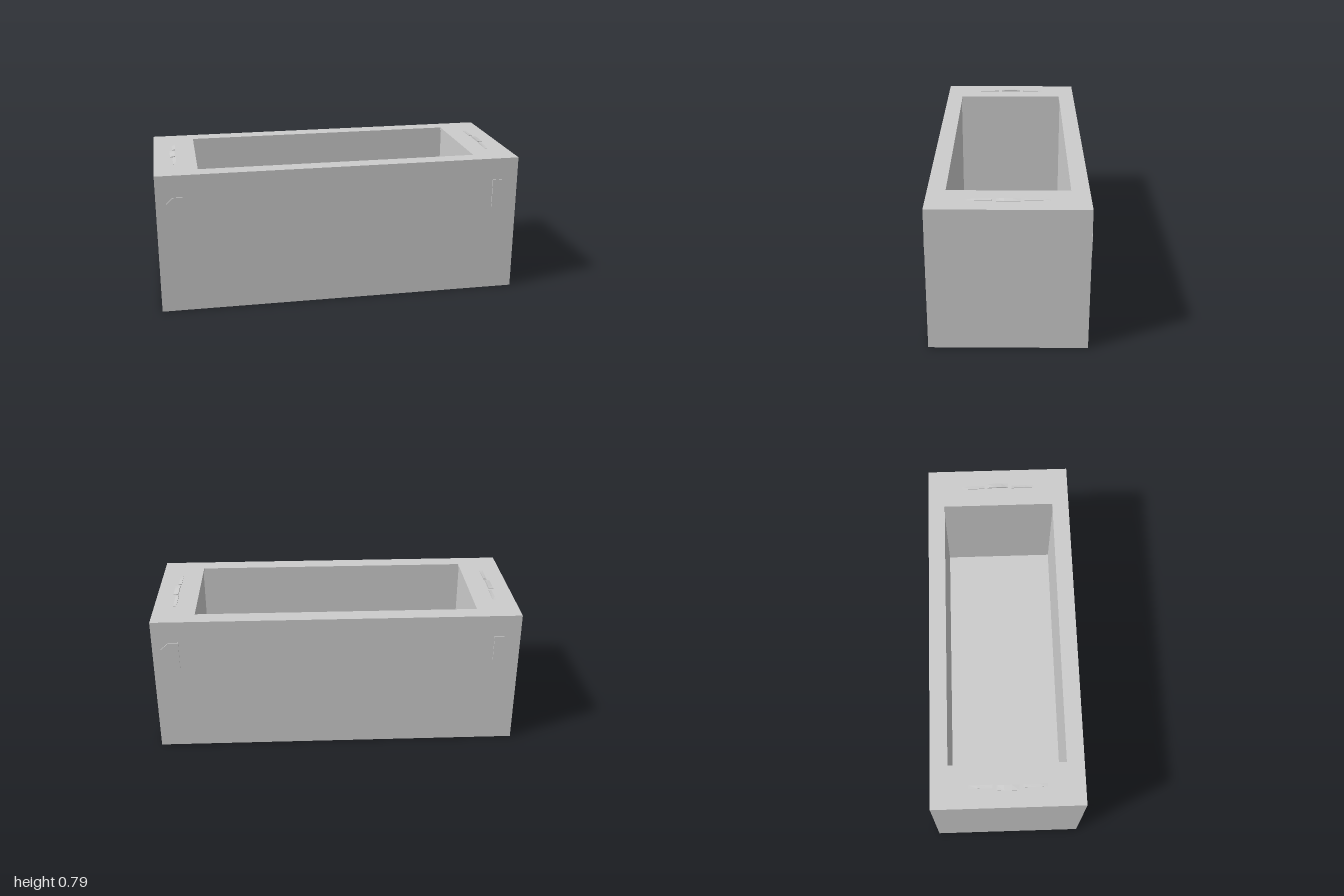
import * as THREE from 'three';

const W = 1, D = 0.408, H = 0.775;      // half width, half depth, height
const OPEN_X = 0.768, OPEN_Z = 0.314;   // half size of the opening
const FLOOR = 0.09, LIP = 0.015, UNDERCUT = 0.006;

const material = new THREE.MeshStandardMaterial({ color: 0xcccccc, flatShading: true });

function mesh(name, geometry) {
  const m = new THREE.Mesh(geometry, material);
  m.name = name;
  return m;
}

function polygon(points) {
  return new THREE.Shape(points.map(([x, y]) => new THREE.Vector2(x, y)));
}

const extrude = (shape, depth) =>
  new THREE.ExtrudeGeometry(shape, { depth, bevelEnabled: false });

const rect = (x, z) => [[-x, -z], [x, -z], [x, z], [-x, z]];

// Rectangular ring lying flat between two heights
function ring(holeX, holeZ, y0, y1) {
  const shape = polygon(rect(W, D));
  shape.holes.push(polygon(rect(holeX, holeZ).reverse()));
  return extrude(shape, y1 - y0).rotateX(-Math.PI / 2).translate(0, y0, 0);
}

// Shallow plate with clipped outer corners, raised from a long side
function sidePlate() {
  const outline = [
    [0.857, 0.495], [0.91, 0.495], [0.955, 0.535],
    [0.955, 0.612], [0.91, 0.653], [0.857, 0.653],
  ];
  return extrude(polygon(outline), 0.012).translate(0, 0, D - 0.006);
}

// Low ridge on the rim: z-y profile, extruded along x and sloping outwards
function ridge(profile, inner, outer) {
  const geometry = extrude(polygon(profile), outer - inner)
    .rotateY(-Math.PI / 2).translate(outer, 0, 0);
  const p = geometry.attributes.position;
  for (let i = 0; i < p.count; i++) {
    const isOuter = p.getX(i) > (inner + outer) / 2;
    if (isOuter && p.getY(i) > 0) p.setY(i, p.getY(i) * 0.4);
  }
  geometry.translate(0, H, 0);
  geometry.computeVertexNormals();
  return geometry;
}

export function createModel() {
  const model = new THREE.Group();
  model.name = 'openBox';

  // Hollow body with a thin rim around the opening
  const floor = mesh('floor', new THREE.BoxGeometry(2 * W, FLOOR, 2 * D));
  floor.position.y = FLOOR / 2;
  model.add(
    floor,
    mesh('walls', ring(OPEN_X + UNDERCUT, OPEN_Z + UNDERCUT, FLOOR, H - LIP)),
    mesh('rim', ring(OPEN_X, OPEN_Z, H - LIP, H)),
  );

  // Ridges and plates repeat at both ends by a half turn
  const centreProfile = [[-0.06, -0.004], [0.06, -0.004], [0.06, 0.006], [0.02, 0.01], [-0.02, 0.01], [-0.06, 0.006]];
  const sideProfile = [[0.08, -0.004], [0.208, -0.004], [0.208, 0.001], [0.16, 0.004], [0.08, 0.006]];
  const mirrored = sideProfile.map(([z, y]) => [-z, y]).reverse();
  const plate = sidePlate();

  for (const turn of [0, Math.PI]) {
    const end = new THREE.Group();
    end.name = turn ? 'rightEnd' : 'leftEnd';
    end.rotation.y = turn;
    end.add(
      mesh('rimRidgeCentre', ridge(centreProfile, 0.882, 0.91)),
      mesh('rimRidgeFront', ridge(sideProfile, 0.878, 0.896)),
      mesh('rimRidgeBack', ridge(mirrored, 0.878, 0.896)),
      mesh('sidePlate', plate),
    );
    // Matching plate on the opposite long side
    const opposite = mesh('sidePlateOpposite', plate);
    opposite.scale.z = -1;
    end.add(opposite);
    model.add(end);
  }
  return model;
}
